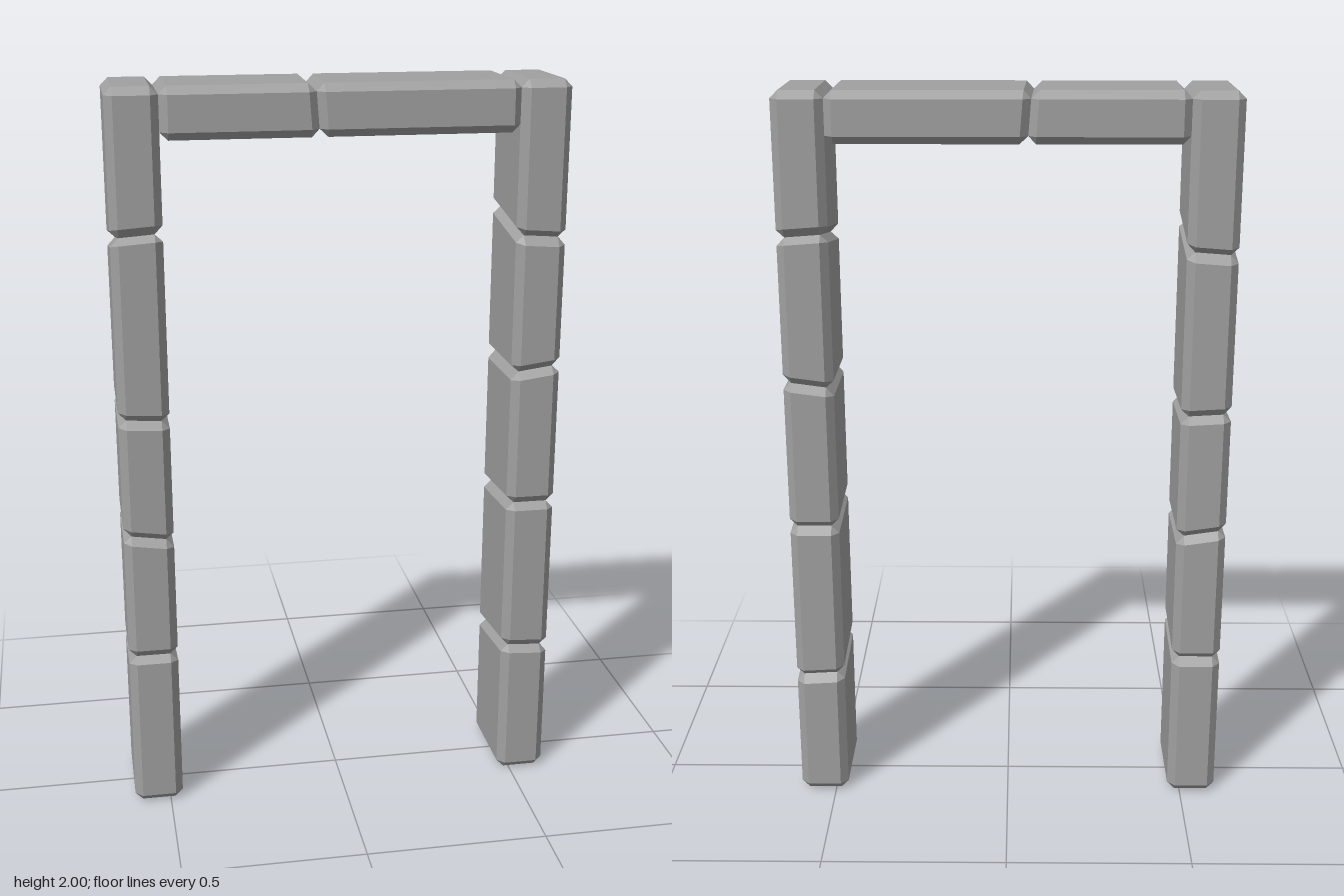
import * as THREE from 'three';
import { ConvexGeometry } from 'three/addons/geometries/ConvexGeometry.js';

const BEVEL = 0.021;
const HALF_DEPTH = 0.137;
const HALF_WIDTH = 0.0675;

// Height of a slanted joint [centre, rise across v, rise across z] at v, w in -1..1
const jointAt = ([c, dv, dw], v, w) => c + dv * v + dw * w;

// Chamfered block between two joints; each corner becomes a small triangle.
// place(u, v, w) maps length, cross width and depth to a point.
function blockGeometry(lo, hi, place) {
  const points = [];
  for (const end of [0, 1]) for (const sv of [-1, 1]) for (const sw of [-1, 1]) {
    for (let face = 0; face < 3; face++) {
      const v = sv * (HALF_WIDTH - (face === 1 ? 0 : BEVEL));
      const w = sw * (HALF_DEPTH - (face === 2 ? 0 : BEVEL));
      const inset = face === 0 ? 0 : BEVEL;
      const u = jointAt(end ? hi : lo, v / HALF_WIDTH, w / HALF_DEPTH) + (end ? -inset : inset);
      points.push(place(u, v, w));
    }
  }
  return new ConvexGeometry(points);
}

// Row of blocks separated by the listed joints
function blockRow(name, joints, place, material) {
  const row = new THREE.Group();
  row.name = name;
  for (let i = 0; i < joints.length - 1; i++) {
    const mesh = new THREE.Mesh(blockGeometry(joints[i], joints[i + 1], place), material);
    mesh.name = name + 'Block' + (i + 1);
    row.add(mesh);
  }
  return row;
}

export function createModel() {
  const group = new THREE.Group();
  group.name = 'stoneDoorFrame';
  const stone = new THREE.MeshStandardMaterial({ color: 0xa0a0a0 });
  stone.name = 'grey stone';

  const postX = 0.6 - HALF_WIDTH;
  const upright = (x) => (u, v, w) => new THREE.Vector3(x + v, u, w);
  const across = (u, v, w) => new THREE.Vector3(u, 2 - HALF_WIDTH + v, w);

  // Upright posts, each of five stones with slanted joints
  group.add(blockRow('leftPost', [
    [0, 0, 0], [0.383, -0.004, 0.015], [0.83, 0, 0.01],
    [1.226, 0.009, 0], [1.61, -0.005, -0.022], [2, 0, 0],
  ], upright(postX), stone));
  group.add(blockRow('rightPost', [
    [0, 0, 0], [0.44, 0, 0.015], [0.803, -0.01, 0],
    [1.14, -0.004, -0.005], [1.606, 0.005, 0.025], [2, 0, 0],
  ], upright(-postX), stone));

  // Lintel of two stones between the posts
  group.add(blockRow('lintel', [
    [-0.465, 0, 0], [-0.06, -0.005, -0.005], [0.465, 0, 0],
  ], across, stone));

  return group;
}
